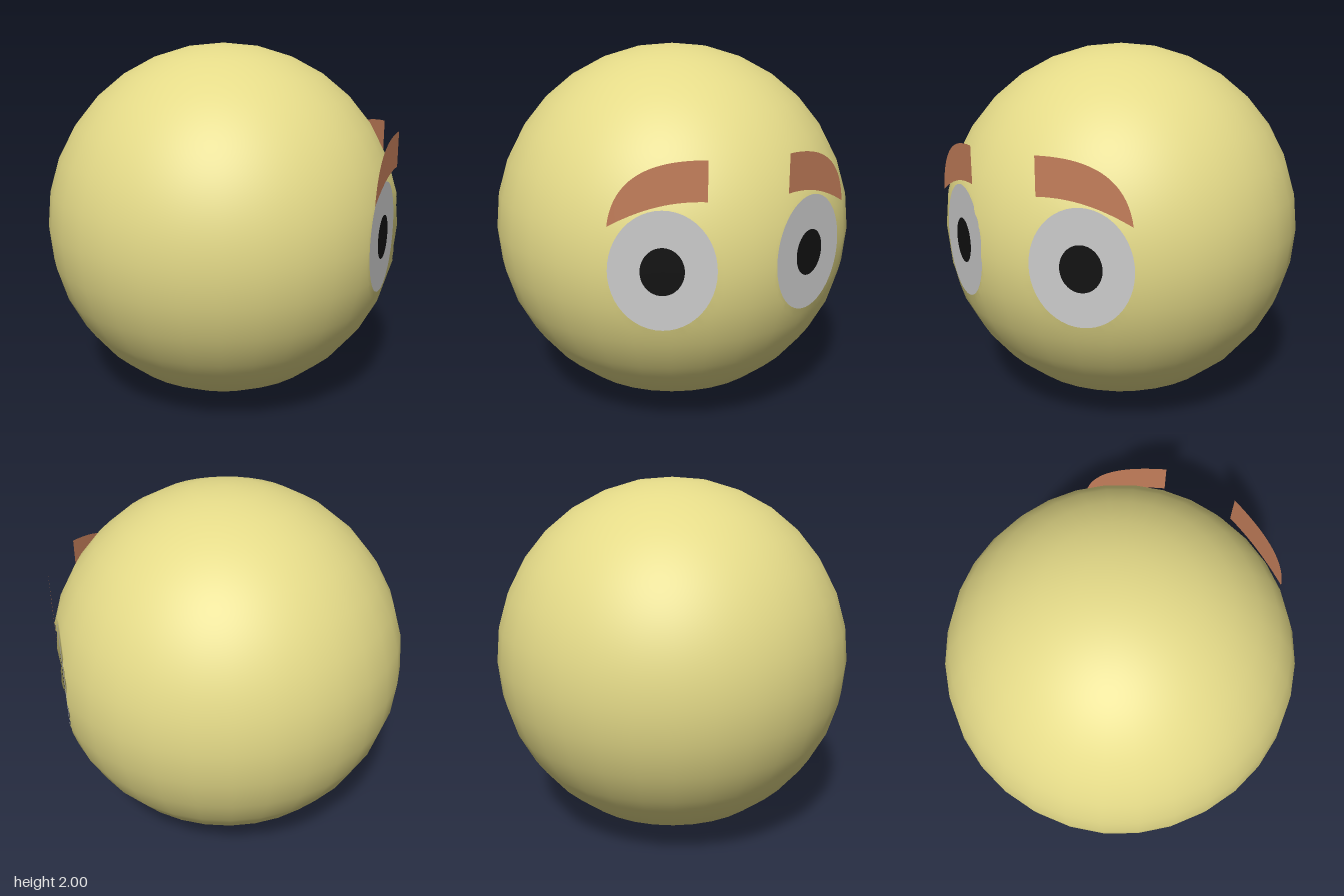
import * as THREE from 'three';

const ANGLE = Math.atan2(0.4, 0.916);            // how far each eye turns away from +x
const EYE = { u: 0.024, rx: 0.262, ry: 0.3, depth: 0.943 };

const material = (color, side = THREE.FrontSide) => new THREE.MeshStandardMaterial({ color, side });

function addMesh(parent, name, geometry, mat) {
  const mesh = new THREE.Mesh(geometry, mat);
  mesh.name = name;
  parent.add(mesh);
  return mesh;
}

// Point on a 32 x 16 sided ball, interpolated flat across its facets
function ballPoint(col, row) {
  const corner = (c, r) => new THREE.Vector3().setFromSphericalCoords(1, r * Math.PI / 16, c * Math.PI / 16);
  const c = Math.min(Math.floor(col), 31), r = Math.min(Math.floor(row), 15);
  const top = corner(c, r).lerp(corner(c + 1, r), col - c);
  const bottom = corner(c, r + 1).lerp(corner(c + 1, r + 1), col - c);
  return top.lerp(bottom, row - r);
}

// Press a vertex down to the flat floor of the eye socket on side s
function pressSocket(p, s) {
  const n = new THREE.Vector3(Math.cos(ANGLE), 0, s * Math.sin(ANGLE));
  const t = new THREE.Vector3(-Math.sin(ANGLE), 0, s * Math.cos(ANGLE));
  if (p.dot(n) < 0.5) return;
  let du = p.dot(t) - EYE.u, y = p.y;
  const q = Math.hypot(du / (EYE.rx * 1.015), y / (EYE.ry * 1.01));
  if (q > 1.06) return;
  if (q > 0.94) { du /= q; y /= q; }             // snap to the rim
  p.copy(t).multiplyScalar(du + EYE.u).addScaledVector(n, EYE.depth - 0.008);
  p.y = y;
}

// Ball with smooth shading and two flat-bottomed sockets
function headGeometry() {
  const sub = 7;
  const geometry = new THREE.SphereGeometry(1, 32 * sub, 16 * sub);
  const pos = geometry.attributes.position;
  const cols = 32 * sub + 1;
  for (let i = 0; i < pos.count; i++) {
    const p = ballPoint((i % cols) / sub, Math.floor(i / cols) / sub);
    // Turn to match the winding of the sphere geometry
    p.set(-p.z, p.y, p.x);
    for (const s of [1, -1]) pressSocket(p, s);
    pos.setXYZ(i, p.x, p.y, p.z);
  }
  return geometry;
}

function ellipse(rx, ry) {
  return new THREE.CircleGeometry(1, 48).scale(rx, ry, 1);
}

// Blunt inner end, tapering and drooping to the outer tip
function browGeometry(m) {
  const shape = new THREE.Shape();
  shape.moveTo(-0.187 * m, 0.345);
  shape.lineTo(-0.187 * m, 0.54);
  shape.bezierCurveTo(0.06 * m, 0.54, 0.25 * m, 0.47, 0.282 * m, 0.225);
  shape.bezierCurveTo(0.14 * m, 0.3, 0, 0.35, -0.187 * m, 0.345);
  return new THREE.ShapeGeometry(shape, 20);
}

export function createModel() {
  const model = new THREE.Group();
  model.name = 'roundHead';
  addMesh(model, 'head', headGeometry(), material(0xe4da88)).position.y = 1;

  const white = material(0xcccccc, THREE.DoubleSide);
  const black = material(0x111111, THREE.DoubleSide);
  const brown = material(0xc47e5a, THREE.DoubleSide);

  // Eye and brow on each side of the face, which looks along +x
  for (const s of [1, -1]) {
    const face = new THREE.Group();
    face.name = s > 0 ? 'frontSideEye' : 'backSideEye';
    face.position.y = 1;
    face.rotation.y = Math.PI / 2 - s * ANGLE;
    const x = -s * EYE.u;
    addMesh(face, 'eyeball', ellipse(EYE.rx, EYE.ry), white).position.set(x, 0, EYE.depth);
    addMesh(face, 'pupil', ellipse(0.107, 0.12), black).position.set(x, 0, EYE.depth + 0.004);
    addMesh(face, 'eyebrow', browGeometry(-s), brown).position.z = 0.958;
    model.add(face);
  }
  return model;
}
